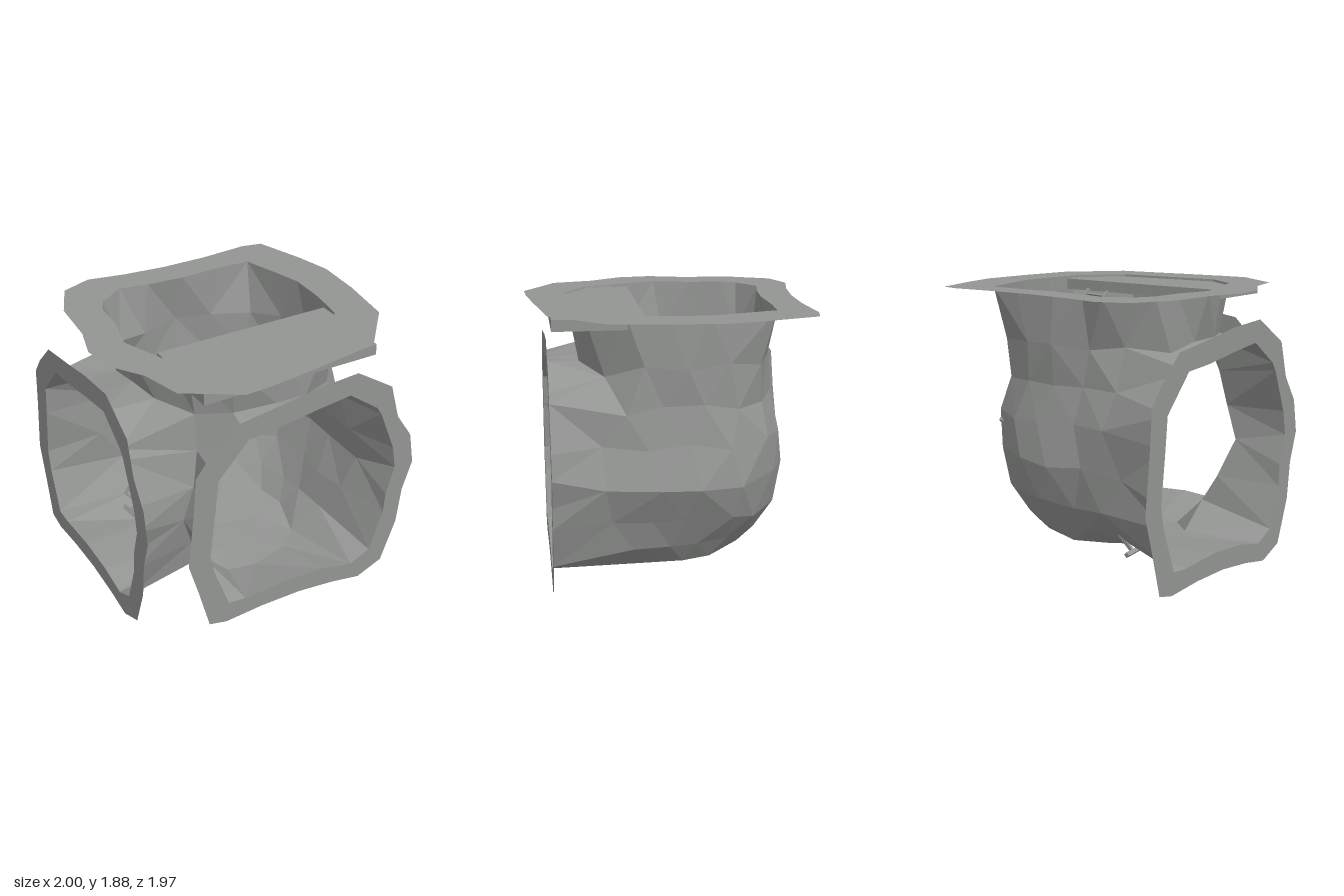
import * as THREE from 'three';
import { ConvexGeometry } from 'three/addons/geometries/ConvexGeometry.js';

const stone = new THREE.MeshStandardMaterial({ color: 0x939593, side: THREE.DoubleSide });
stone.name = 'grey stone';

const v2 = (list) => list.map(([x, y]) => new THREE.Vector2(x, y));

// Side opening (front and left tunnels share it): rim outline and hole
const sideOuter = v2([[-.61, .1], [-.48, .07], [-.2, .09], [.1, .09], [.38, .06], [.6, .02], [.79, .1], [.9, .4],
  [.93, .66], [1, .87], [.96, 1.1], [.84, 1.28], [.77, 1.53], [.49, 1.71], [.19, 1.69], [-.13, 1.64],
  [-.42, 1.6], [-.6, 1.43], [-.7, 1.3], [-.72, 1.02], [-.76, .64], [-.69, .4]]);
const sideInner = v2([[-.46, .22], [-.33, .21], [0, .23], [.3, .21], [.53, .16], [.68, .23], [.78, .52], [.79, .67],
  [.85, .87], [.82, 1.04], [.7, 1.34], [.66, 1.4], [.44, 1.56], [.18, 1.53], [-.08, 1.49], [-.32, 1.47],
  [-.54, 1.23], [-.56, 1.02], [-.6, .67], [-.57, .52]]);

// Top opening, drawn as x and z
const topOuter = v2([[-.56, -.92], [-.3, -.87], [0, -.84], [.32, -.84], [.67, -.87], [.81, -.84], [.92, -.49],
  [.98, -.23], [.96, .11], [.9, .51], [.6, .86], [.07, .94], [-.23, .98], [-.42, .99], [-.6, .87], [-.76, .77],
  [-.83, .49], [-.97, .27], [-1, .04], [-.93, -.2], [-.9, -.56], [-.77, -.84]]);
const topInner = v2([[-.61, -.56], [-.43, -.68], [-.23, -.64], [.03, -.62], [.35, -.63], [.56, -.62], [.64, -.35],
  [.69, -.16], [.68, .11], [.64, .37], [.41, .63], [.04, .67], [-.33, .71], [-.57, .55], [-.63, .36], [-.75, .04],
  [-.68, -.22], [-.67, -.45]]);

// Flat rim around an opening
function rim(name, outer, inner) {
  const shape = new THREE.Shape(outer);
  shape.holes.push(new THREE.Path(inner));
  const mesh = new THREE.Mesh(new THREE.ShapeGeometry(shape), stone);
  mesh.name = name;
  return mesh;
}

// Rocky shell: scattered points joined by a hull of their directions, left open at the rims
function caveShell(rims) {
  let seed = 11;
  const jitter = (amount) => {
    seed = (seed * 16807) % 2147483647;
    return (seed / 2147483647 - 0.5) * 2 * amount;
  };
  const centre = new THREE.Vector3(0, 0.85, 0);
  const points = [], owner = [];
  const add = (p, id = -1) => { points.push(p); owner.push(id); };

  rims.forEach(({ mesh, inner }, id) => {
    mesh.updateMatrix();
    inner.forEach((p) => add(new THREE.Vector3(p.x, p.y, 0).applyMatrix4(mesh.matrix), id));
  });

  const wallPoint = (y, rx, rz, degrees, flare = 1) => {
    const a = THREE.MathUtils.degToRad(degrees + jitter(3));
    const c = Math.cos(a), s = Math.sin(a), n = 2.5;
    const r = (Math.abs(c / rx) ** n + Math.abs(s / rz) ** n) ** (-1 / n) * flare + jitter(0.022);
    add(new THREE.Vector3(c * r, y + jitter(0.03), s * r));
  };

  // Closed right and back walls, flared into the tunnels, and the fold between the two tunnels
  [[.31, .59, .58], [.5, .71, .69], [.76, .79, .76], [1.02, .74, .72], [1.27, .69, .67]].forEach(([y, rx, rz], row) => {
    for (let k = 0; k < 9; k++) {
      wallPoint(y, rx, rz, 34 - k * 20.2 + (row % 2 ? 3 : -3), k % 8 ? 1 : 1.13);
    }
    wallPoint(y, rx, rz, 135);
  });
  // Neck below the top opening, dipping beside the front tunnel
  for (let k = 0; k < 16; k++) wallPoint(k === 2 ? 1.44 : 1.53, .7, .66, k * 22.5);
  // Floor, rising towards the back
  add(new THREE.Vector3(0, .15, 0));
  for (const [r, n] of [[.27, 6], [.5, 12]]) {
    for (let k = 0; k < n; k++) {
      const a = (k + jitter(0.2)) / n * Math.PI * 2;
      const z = Math.sin(a) * r;
      add(new THREE.Vector3(Math.cos(a) * r, .155 - .07 * z + jitter(0.015), z));
    }
  }

  const dirs = points.map((p) => p.clone().sub(centre).normalize());
  const hull = new ConvexGeometry(dirs).getAttribute('position');
  const nearest = (v) => {
    let best = 0;
    dirs.forEach((d, i) => { if (d.distanceToSquared(v) < dirs[best].distanceToSquared(v)) best = i; });
    return best;
  };
  const out = [], v = new THREE.Vector3();
  for (let i = 0; i < hull.count; i += 3) {
    const tri = [0, 1, 2].map((k) => nearest(v.fromBufferAttribute(hull, i + k)));
    const [a, b, c] = tri.map((t) => owner[t]);
    if (a >= 0 && a === b && b === c) continue;
    tri.forEach((t) => out.push(...points[t].toArray()));
  }
  const geo = new THREE.BufferGeometry();
  geo.setAttribute('position', new THREE.Float32BufferAttribute(out, 3));
  geo.computeVertexNormals();
  const mesh = new THREE.Mesh(geo, stone);
  mesh.name = 'caveShell';
  return mesh;
}

function box(name, w, h, d, x, y, z) {
  const mesh = new THREE.Mesh(new THREE.BoxGeometry(w, h, d), stone);
  mesh.name = name;
  mesh.position.set(x, y, z);
  return mesh;
}

// Ladder from foot to head, with rungs along the across direction
function ladder(name, foot, head, across, width, rungs) {
  const up = head.clone().sub(foot);
  const length = up.length();
  up.normalize();
  const side = across.clone().addScaledVector(up, -across.dot(up)).normalize();
  const group = new THREE.Group();
  group.name = name;
  group.quaternion.setFromRotationMatrix(
    new THREE.Matrix4().makeBasis(side, up, side.clone().cross(up)));
  group.position.copy(foot);
  for (const s of [-1, 1]) group.add(box('rail', .02, length, .024, s * width / 2, length / 2, 0));
  for (let i = 0; i < rungs; i++) {
    group.add(box('rung', width, .014, .014, 0, length * (i + .7) / rungs, 0));
  }
  group.add(box('footBar', .32, .028, .028, 0, 0, 0));
  return group;
}

export function createModel() {
  const model = new THREE.Group();
  model.name = 'cave';

  // Rims of the three openings
  const front = rim('frontRim', sideOuter, sideInner);
  front.position.z = .87;
  const side = rim('sideRim', sideOuter, sideInner);
  side.rotation.y = -Math.PI / 2;
  side.position.set(-1, -.02, -.22);
  const top = rim('topRim', topOuter, topInner);
  top.rotation.x = Math.PI / 2;
  top.position.y = 1.88;
  model.add(front, side, top);

  model.add(caveShell([
    { mesh: front, inner: sideInner }, { mesh: side, inner: sideInner }, { mesh: top, inner: topInner }]));

  // Platform under the top opening
  model.add(box('platform', 1.26, .075, .6, .01, 1.827, .54));

  // Ladders
  model.add(ladder('upperLadder', new THREE.Vector3(.38, .955, -.6), new THREE.Vector3(.325, 1.8, .21),
    new THREE.Vector3(1, 0, 0), .175, 9));
  model.add(ladder('lowerLadder', new THREE.Vector3(-.57, .22, -.46), new THREE.Vector3(.21, 1.03, -.55),
    new THREE.Vector3(0, 0, -1), .17, 10));
  return model;
}
